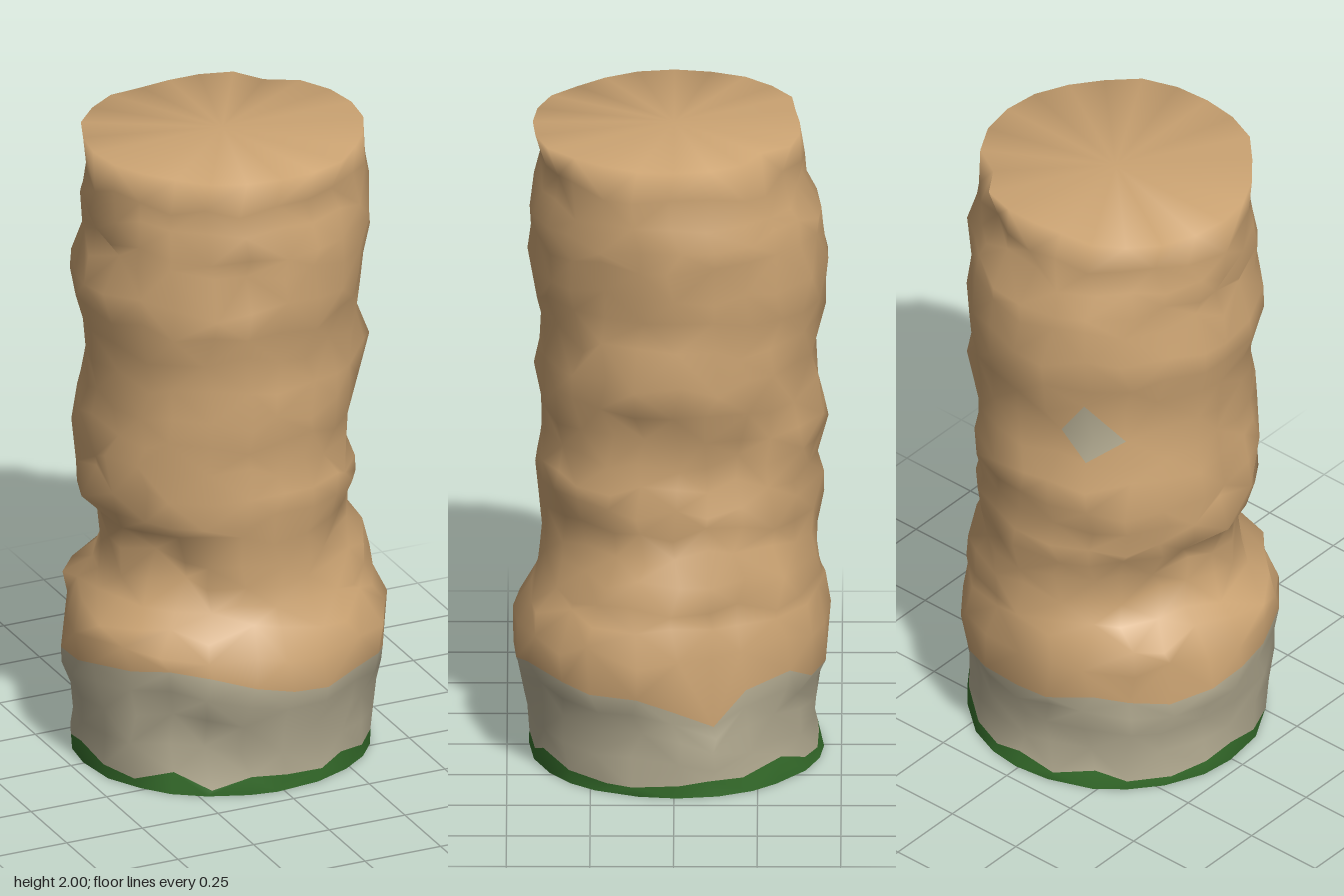
import * as THREE from 'three';

const SEG = 24;
const ROWS = [0, 0.05, 0.13, 0.22, 0.29, 0.35, 0.45, 0.53, 0.58, 0.66, 0.74, 0.82, 0.88, 0.95, 1.03,
  1.12, 1.2, 1.3, 1.4, 1.5, 1.58, 1.68, 1.75, 1.82, 1.9, 2];
const STONE_ROW = 5; // row where the pale stone foot meets the tan rock

// outlines as [height, radius] seen towards +z, +x, -z and -x
const SIDES = [
  [[0, .44], [.1, .44], [.2, .46], [.37, .5], [.5, .47], [.56, .41], [.8, .41], [.95, .43], [1, .4], [1.2, .42],
    [1.35, .41], [1.55, .44], [1.75, .45], [1.85, .41], [2, .41]],
  [[0, .45], [.2, .46], [.35, .49], [.45, .49], [.53, .45], [.68, .45], [.73, .39], [.8, .38], [.9, .41], [1, .37],
    [1.2, .41], [1.3, .46], [1.38, .41], [1.5, .43], [1.75, .46], [1.9, .43], [2, .43]],
  [[0, .45], [.1, .43], [.3, .45], [.37, .49], [.45, .48], [.55, .45], [.75, .43], [.83, .46], [.95, .43], [1.05, .47],
    [1.3, .43], [1.4, .46], [1.55, .48], [1.65, .45], [1.75, .46], [1.81, .4], [2, .39]],
  [[0, .46], [.2, .48], [.35, .5], [.53, .49], [.58, .39], [.8, .39], [.87, .46], [.93, .45], [.98, .4], [1.03, .46],
    [1.15, .43], [1.3, .42], [1.5, .46], [1.6, .47], [1.7, .42], [1.8, .44], [1.9, .42], [2, .42]],
];

// values every 15 degrees, from the front towards +x: radii of the foot and of the flat top
const FOOT_RADIUS = [.49, .49, .51, .51, .51, .51, .5, .47, .47, .47, .48, .48,
  .49, .48, .47, .47, .475, .49, .5, .5, .5, .49, .49, .5];
const TOP_RADIUS = [.43, .43, .44, .43, .43, .43, .43, .43, .42, .38, .41, .39,
  .38, .38, .41, .42, .43, .43, .43, .43, .42, .41, .43, .43];
// heights of the stone foot and of the grass fringe
const STONE_TOP = [.34, .33, .36, .34, .32, .33, .29, .22, .33, .36, .31, .32,
  .3, .33, .35, .33, .32, .34, .35, .38, .4, .42, .4, .37];
const GRASS_TOP = [.05, .04, .07, .04, .03, .03, .04, .05, .05, .08, .04, .03,
  .05, .03, .06, .03, .03, .05, .07, .04, .03, .07, .02, .06];

// hollows and bulges: angle in degrees, height, angular size, vertical size, depth
const DENTS = [
  [-42, .7, 14, .14, -.04], [-38, .18, 14, .12, -.04], [112, .5, 14, .25, -.045], [118, 1, 12, .12, -.04],
  [-12, 1.68, 16, .07, -.035], [-10, 1.82, 14, .07, .015], [45, .7, 20, .09, -.03], [225, 1.05, 22, .09, .02],
  [225, .7, 25, .12, -.03], [225, 1.42, 20, .08, -.03], [140, 1.9, 14, .14, -.02], [75, 1.1, 18, .07, -.025],
  [30, 1.35, 14, .09, -.025],
];

function sample(profile, y) {
  let k = 1;
  while (k < profile.length - 1 && profile[k][0] < y) k++;
  const [y0, r0] = profile[k - 1], [y1, r1] = profile[k];
  return THREE.MathUtils.lerp(r0, r1, THREE.MathUtils.clamp((y - y0) / (y1 - y0), 0, 1));
}

const bell = (distance, size) => Math.exp(-((distance / size) ** 2));

function radiusAt(angle, y, j) {
  const s = Math.sin(angle), c = Math.cos(angle);
  let r = c * c * sample(SIDES[c > 0 ? 0 : 2], y) + s * s * sample(SIDES[s > 0 ? 1 : 3], y);
  r = THREE.MathUtils.lerp(r, FOOT_RADIUS[j], bell(y - 0.4, 0.08));
  r = THREE.MathUtils.lerp(r, TOP_RADIUS[j], bell(2 - y, 0.06));
  for (const [deg, height, da, dy, amount] of DENTS) {
    const d = (((angle * 180 / Math.PI - deg) % 360) + 540) % 360 - 180;
    r += amount * bell(d, da) * bell(y - height, dy);
  }
  return r;
}

function seededRandom(seed) {
  return () => (seed = (seed * 16807) % 2147483647) / 2147483647;
}

function pillarGeometry() {
  const random = seededRandom(4711);
  const positions = [];
  const faces = [[], [], []]; // tan rock, pale stone, grass
  const last = ROWS.length - 1;

  // rough rings stacked from the ground up
  ROWS.forEach((row, i) => {
    for (let j = 0; j < SEG; j++) {
      let y = row;
      if (i === 1) y = GRASS_TOP[j];
      else if (i > 1 && i <= STONE_ROW) y = row * STONE_TOP[j] / ROWS[STONE_ROW];
      else if (i > STONE_ROW && i < last) y += (random() - 0.5) * 0.05;
      const angle = (j + (random() - 0.5) * (i < last ? 0.4 : 0)) / SEG * Math.PI * 2;
      const rough = i > 1 && i < last ? 0.022 : 0.008;
      const r = radiusAt(angle, y, j) + rough * (0.1 - random());
      positions.push(r * Math.sin(angle), y, r * Math.cos(angle));
    }
  });

  // side faces, with the colour chosen by row
  for (let i = 0; i < last; i++) {
    for (let j = 0; j < SEG; j++) {
      const n = (j + 1) % SEG;
      const a = i * SEG + j, b = i * SEG + n, c = b + SEG, d = a + SEG;
      const [t1, t2] = (i + j) % 2 ? [[a, b, d], [b, c, d]] : [[a, b, c], [a, c, d]];
      const colour = i === 0 ? 2 : i < STONE_ROW ? 1 : 0;
      const patch = j === 13 || j === 14; // small bare stone patch at the back
      faces[patch && i === 17 ? 1 : colour].push(...t1);
      faces[patch && i === 16 ? 1 : colour].push(...t2);
    }
  }

  // flat top, and a flat underside with its own sharp rim
  const rim = last * SEG, top = positions.length / 3, bottom = top + 1, base = top + 2;
  positions.push(0, 2, 0, 0, 0, 0, ...positions.slice(0, SEG * 3));
  for (let j = 0; j < SEG; j++) {
    const n = (j + 1) % SEG;
    faces[0].push(rim + j, rim + n, top);
    faces[2].push(base + n, base + j, bottom);
  }

  const geometry = new THREE.BufferGeometry();
  geometry.setAttribute('position', new THREE.Float32BufferAttribute(positions, 3));
  geometry.setIndex(faces.flat());
  let start = 0;
  faces.forEach((list, m) => {
    geometry.addGroup(start, list.length, m);
    start += list.length;
  });
  geometry.computeVertexNormals();
  return geometry;
}

export function createModel() {
  const make = (name, color) => Object.assign(new THREE.MeshStandardMaterial({ color }), { name });
  const materials = [make('tanRock', 0xcca473), make('paleStone', 0xb4ac92), make('grassGreen', 0x356d2b)];

  const model = new THREE.Group();
  model.name = 'rockPillar';
  const pillar = new THREE.Mesh(pillarGeometry(), materials);
  pillar.name = 'pillar';
  model.add(pillar);
  return model;
}
